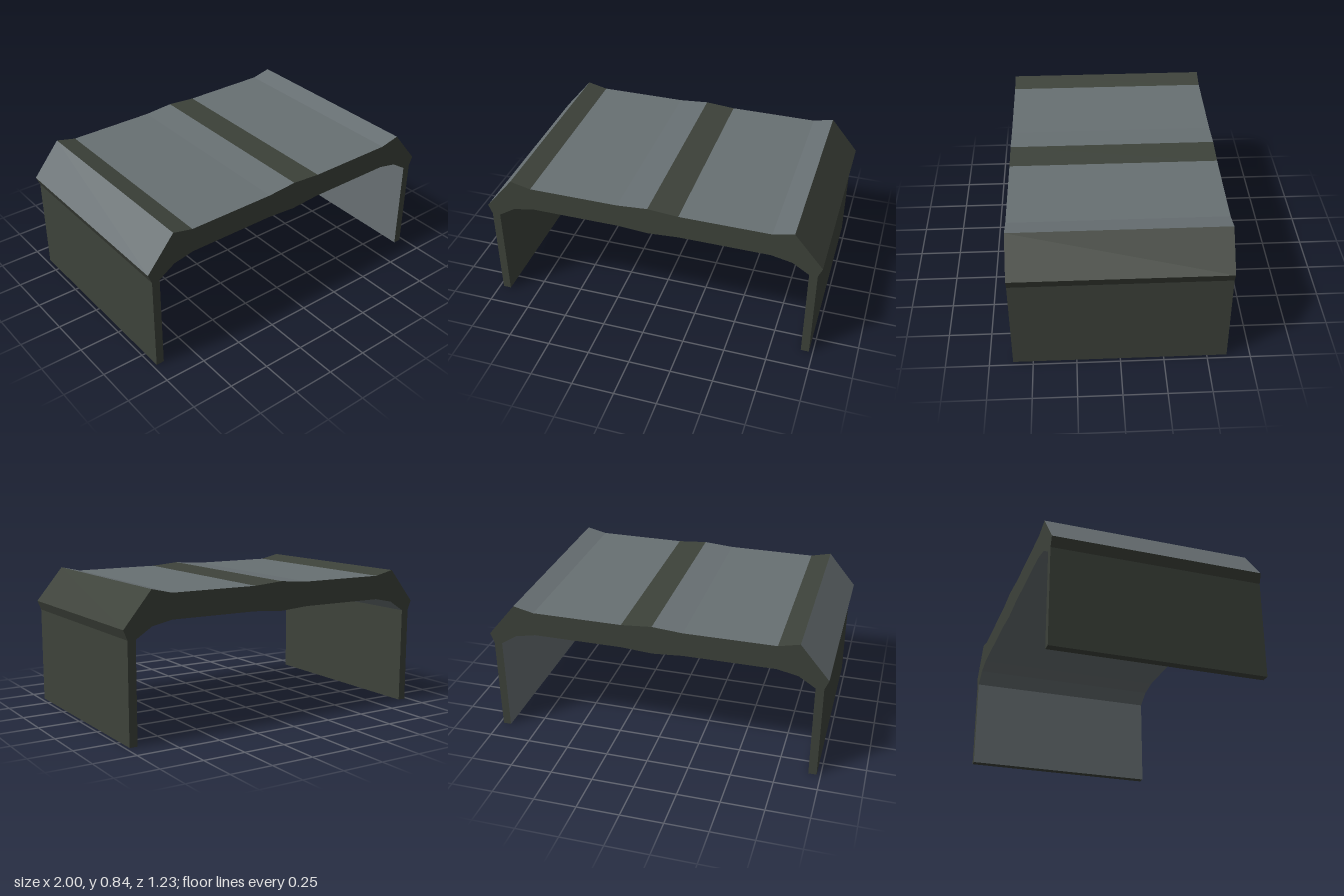
import * as THREE from 'three';

const HALF_DEPTH = 0.615;

// Right half of the cross-section: top surface outwards, then the underside inwards
const topHalf = [[0.18, 0.809], [0.71, 0.809], [0.832, 0.837], [1, 0.635], [0.977, 0.578], [0.977, 0]];
const underHalf = [[0.929, 0], [0.929, 0.578], [0.832, 0.64], [0.71, 0.665], [0.18, 0.665]];
const mirror = (points) => points.map(([x, y]) => [-x, y]).reverse();

// Faces spanning the full depth along consecutive profile points
function strip(points) {
  const pos = [];
  for (let i = 0; i < points.length - 1; i++) {
    const [ax, ay] = points[i];
    const [bx, by] = points[i + 1];
    const d = HALF_DEPTH;
    pos.push(ax, ay, d, bx, by, d, bx, by, -d, ax, ay, d, bx, by, -d, ax, ay, -d);
  }
  const geometry = new THREE.BufferGeometry();
  geometry.setAttribute('position', new THREE.Float32BufferAttribute(pos, 3));
  geometry.computeVertexNormals();
  return geometry;
}

export function createModel() {
  const group = new THREE.Group();
  const olive = new THREE.MeshStandardMaterial({ color: 0x3d423a });
  olive.name = 'dark olive';
  const grey = new THREE.MeshStandardMaterial({ color: 0x687073 });
  grey.name = 'blue grey';

  const add = (name, geometry, material) => {
    const mesh = new THREE.Mesh(geometry, material);
    mesh.name = name;
    group.add(mesh);
    return mesh;
  };

  // Closed loop, clockwise from the foot of the -x wall
  const profile = [
    ...mirror(topHalf), [0, 0.823], ...topHalf,
    ...underHalf, [0, 0.652], ...mirror(underHalf),
  ];
  profile.push(profile[0]);

  // Runs of profile points: name, first point, last point, material
  const parts = [
    ['rightOuterWall', 0, 2, olive],
    ['rightShoulder', 2, 3, grey],
    ['rightRoofStripe', 3, 4, olive],
    ['rightRoofPanel', 4, 6, grey],
    ['centreRoofStripe', 6, 7, olive],
    ['leftRoofPanel', 7, 9, grey],
    ['leftShoulderAndOuterWall', 9, 12, olive],
    ['leftFoot', 12, 13, olive],
    ['leftInnerWallAndCeiling', 13, 22, grey],
    ['rightInnerWallAndFoot', 22, 24, olive],
  ];
  for (const [name, from, to, material] of parts) {
    add(name, strip(profile.slice(from, to + 1)), material);
  }

  // Flat end faces; the profile is symmetric, so the back is the front turned round
  const shape = new THREE.Shape(profile.slice(0, -1).map(([x, y]) => new THREE.Vector2(x, y)));
  const cap = new THREE.ShapeGeometry(shape);
  add('frontEnd', cap, olive).position.z = HALF_DEPTH;
  const back = add('backEnd', cap, olive);
  back.position.z = -HALF_DEPTH;
  back.rotation.y = Math.PI;

  return group;
}
